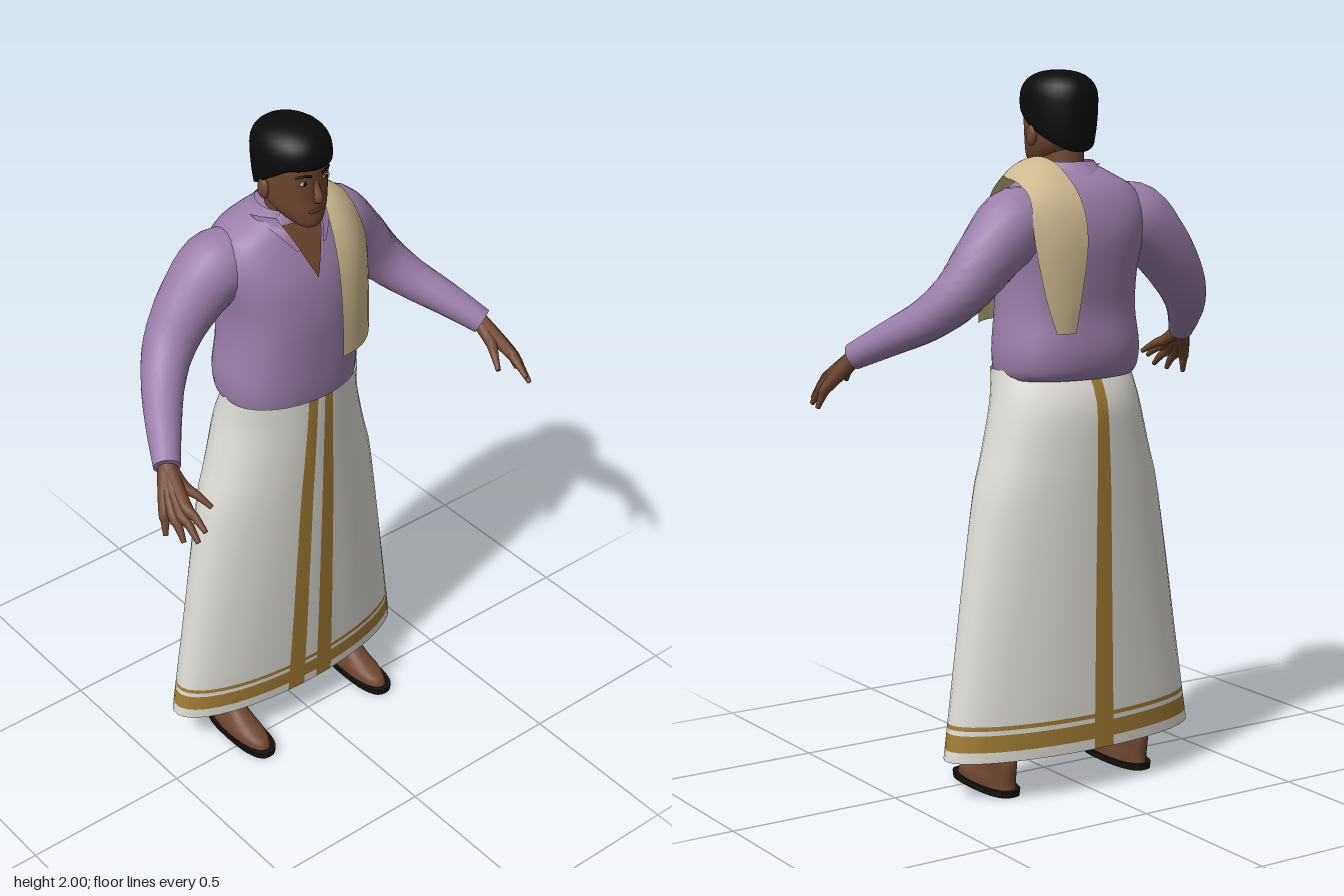
import * as THREE from 'three';

const mat = (name, color, side = THREE.FrontSide) => {
  const m = new THREE.MeshStandardMaterial({ color, side });
  m.name = name;
  return m;
};
const V = (x, y, z) => new THREE.Vector3(x, y, z);

// Catmull-Rom interpolation of number tuples
function smooth(keys, steps = 4) {
  const out = [];
  const last = keys.length - 1;
  for (let i = 0; i < last; i++) {
    const p = [keys[Math.max(i - 1, 0)], keys[i], keys[i + 1], keys[Math.min(i + 2, last)]];
    for (let s = 0; s < steps; s++) {
      const t = s / steps;
      out.push(p[1].map((b, k) => {
        const a = p[0][k], c = p[2][k], d = p[3][k];
        return 0.5 * (2 * b + (c - a) * t + (2 * a - 5 * b + 4 * c - d) * t * t + (3 * b - a - 3 * c + d) * t * t * t);
      }));
    }
  }
  out.push(keys[last]);
  return out;
}

// Surface through rows of points; pick() gives each cell a material index
function grid(rows, closed = true, pick = () => 0) {
  const n = rows[0].length, cols = closed ? n : n - 1;
  const pos = [], lists = [[], []];
  rows.forEach(r => r.forEach(p => pos.push(p.x, p.y, p.z)));
  for (let i = 0; i < rows.length - 1; i++) {
    for (let j = 0; j < cols; j++) {
      const k = (j + 1) % n;
      const a = i * n + j, b = i * n + k, c = b + n, d = a + n;
      lists[pick(i, j)].push(a, b, c, a, c, d);
    }
  }
  const g = new THREE.BufferGeometry();
  g.setAttribute('position', new THREE.Float32BufferAttribute(pos, 3));
  g.setIndex([...lists[0], ...lists[1]]);
  if (lists[1].length) {
    g.addGroup(0, lists[0].length, 0);
    g.addGroup(lists[0].length, lists[1].length, 1);
  }
  g.computeVertexNormals();
  return g;
}

// Close both ends of a stack of rings with crisp rims
function capped(rings) {
  const dot = ring => {
    const c = ring.reduce((s, p) => s.add(p), V(0, 0, 0)).divideScalar(ring.length);
    return ring.map(() => c);
  };
  const a = rings[0], b = rings[rings.length - 1];
  return grid([dot(a), a, ...rings, b, dot(b)]);
}

const circle = n => Array.from({ length: n }, (_, i) => (i / n) * Math.PI * 2);
const pow = (v, e) => Math.sign(v) * Math.abs(v) ** (2 / e);

// Horizontal cross-section [y, half width, front z, back z, centre x]
function ring([y, hw, zf, zb, cx = 0], e, angles) {
  return angles.map(a => V(cx + hw * pow(Math.sin(a), e), y, (zf + zb) / 2 + (zf - zb) / 2 * pow(Math.cos(a), e)));
}
const loft = (rows, e = 2, n = 32) => capped(rows.map(r => ring(r, e, circle(n))));

function sectionAt(rows, y) {
  let i = 0;
  while (i < rows.length - 2 && rows[i + 1][0] < y) i++;
  const t = (y - rows[i][0]) / (rows[i + 1][0] - rows[i][0]);
  return rows[i].map((v, k) => v + (rows[i + 1][k] - v) * t);
}
function frontZ(rows, x, y, e) {
  const [, hw, zf, zb] = sectionAt(rows, y);
  const u = Math.min(1, Math.abs(x) / hw);
  return (zf + zb) / 2 + (zf - zb) / 2 * (1 - u ** e) ** (1 / e);
}

// Round limb through [x, y, z, radius]
function limb(keys, n = 14, steps = 4) {
  const rows = smooth(keys, steps), up = V(0, 1, 0);
  const at = i => V(...rows[Math.min(Math.max(i, 0), rows.length - 1)].slice(0, 3));
  return capped(rows.map((r, i) => {
    const q = new THREE.Quaternion().setFromUnitVectors(up, at(i + 1).sub(at(i - 1)).normalize());
    return circle(n).map(a => V(Math.sin(a) * r[3], 0, Math.cos(a) * r[3]).applyQuaternion(q).add(at(i)));
  }));
}

export function createModel() {
  const D = THREE.DoubleSide;
  const skin = mat('skin', 0x6f4630), hairM = mat('hair', 0x0b0b0c, D), shirt = mat('shirt', 0x9a7ea8, D);
  const cloth = mat('white cloth', 0xdddbd4, D), gold = mat('gold border', 0xa27c35, D);
  const shawlM = mat('shawl', 0xcbb88d, D), sole = mat('sole', 0x141112);
  const white = mat('eye white', 0xc9c5bf), lip = mat('lips', 0x57321f);
  const model = new THREE.Group();
  const add = (name, geo, m) => {
    const mesh = new THREE.Mesh(geo, m);
    mesh.name = name;
    model.add(mesh);
    return mesh;
  };
  const blob = (name, m, p, s) => {
    const mesh = add(name, new THREE.SphereGeometry(1, 16, 12), m);
    mesh.position.set(...p);
    mesh.scale.set(...s);
  };

  // Shirt body
  const torso = smooth([
    [1.165, .195, .045, -.24], [1.19, .207, .05, -.258], [1.25, .21, .055, -.268], [1.35, .198, .058, -.262],
    [1.45, .195, .058, -.275], [1.55, .21, .045, -.285], [1.62, .215, .02, -.275], [1.68, .185, -.008, -.25],
    [1.72, .12, -.028, -.215], [1.745, .075, -.035, -.18]]);
  add('shirtBody', loft(torso, 2.4, 40), shirt);

  // Open neckline and collar
  const vHalf = y => .066 * (y - 1.57) / .15;
  const vRows = [];
  for (let i = 0; i <= 8; i++) {
    const y = 1.572 + i * .0185;
    vRows.push([-1, -.5, 0, .5, 1].map(u => V(u * vHalf(y), y, frontZ(torso, u * vHalf(y), y, 2.4) + .005)));
  }
  add('neckline', grid(vRows, false), skin);
  for (const s of [-1, 1]) {
    const rows = [];
    for (let i = 0; i <= 6; i++) {
      const y = 1.655 + i * .0145, a = vHalf(y), w = .012 + .03 * i / 6;
      rows.push([0, .5, 1].map(u => V(s * (a + u * w), y, frontZ(torso, a + u * w, Math.min(y, 1.73), 2.4) + .012)));
    }
    add('collarFlap', grid(rows, false), shirt);
  }
  const arc = Array.from({ length: 25 }, (_, i) => .8 + i / 24 * (Math.PI * 2 - 1.6));
  add('collarBand', grid([[1.69, .125, -.015, -.24], [1.72, .1, -.02, -.215], [1.755, .078, -.02, -.185]]
    .map(r => ring(r, 2, arc)), false), shirt);

  // Wrapped skirt with woven gold borders
  const skirt = smooth([
    [.12, .408, .01, -.255], [.4, .365, .025, -.258], [.6, .335, .034, -.26], [.85, .293, .045, -.264],
    [.95, .264, .05, -.265], [1.1, .226, .057, -.26], [1.19, .212, .06, -.215]]);
  const half = [.058, .2025];
  for (let i = 1; i <= 17; i++) half.push(.2025 + i * (Math.PI - .2025) / 18);
  const angles = [...half.map(a => -a).reverse(), ...half, Math.PI];
  const ys = [.12, .15, .197, .21, .222];
  for (let i = 1; i <= 22; i++) ys.push(.222 + i * .044);
  add('skirt', grid(ys.map(y => ring(sectionAt(skirt, y), 2, angles)), true, (i, j) => {
    const a = angles[j], b = angles[(j + 1) % angles.length], m = Math.abs((a + b) / 2);
    return i === 1 || i === 3 || (m > .058 && m < .2025) ? 1 : 0;
  }), [cloth, gold]);

  // Shawl over the left shoulder: [y, z, inner x, outer x, outer z shift, outer y shift]
  const shawl = smooth([
    [1.31, .08, .06, .217, -.08, 0], [1.45, .08, .055, .222, -.09, 0], [1.58, .064, .055, .22, -.085, 0],
    [1.68, .02, .065, .2, -.06, -.01], [1.75, -.05, .085, .19, -.03, -.035], [1.768, -.11, .085, .195, 0, -.055],
    [1.742, -.19, .075, .2, .015, -.04], [1.66, -.268, .06, .2, .035, 0], [1.55, -.295, .055, .2, .04, 0],
    [1.4, -.288, .07, .17, .025, 0], [1.3, -.275, .08, .135, .01, 0]], 5);
  add('shawl', grid(shawl.map(([y, z, a, b, dz, dy]) => Array.from({ length: 9 }, (_, i) => {
    const u = i / 8;
    return V(a + (b - a) * u, y + dy * u * u, z + dz * u ** 2.5);
  })), false), shawlM);

  // Neck and head
  add('neck', loft([[1.6, .06, -.045, -.16], [1.7, .06, -.025, -.155], [1.8, .06, -.015, -.15]]), skin);
  const head = smooth([
    [1.722, .025, .028, -.02], [1.735, .045, .035, -.07], [1.77, .071, .035, -.13], [1.81, .083, .033, -.165],
    [1.86, .088, .034, -.18], [1.91, .09, .035, -.185], [1.96, .07, .01, -.15]]);
  add('head', loft(head, 2.2), skin);
  add('nose', limb([[0, 1.862, .028, .007], [0, 1.835, .037, .01], [0, 1.814, .044, .013], [0, 1.803, .034, .009]]), skin);
  blob('mouth', lip, [0, 1.773, .033], [.025, .006, .006]);

  // Hair cap, low at the nape and high over the forehead
  const hairRows = [];
  for (let i = -1; i <= 12; i++) {
    const f = Math.sin(Math.max(i, 0) / 12 * Math.PI / 2);
    hairRows.push(circle(40).map(a => {
      const c = Math.cos(a), yb = c > 0 ? 1.85 + .055 * Math.min(1, c * 1.5) : 1.85 + .07 * c;
      const y = yb + (2 - yb) * f;
      let r = y < 1.92 ? 1 - .14 * ((1.92 - y) / .14) ** 2 : Math.max(0, 1 - ((y - 1.92) / .08) ** 2.4) ** (1 / 2.4);
      if (i < 0) r *= .84;
      return V(.1 * r * Math.sin(a), y, -.073 + .123 * r * c);
    }));
  }
  add('hair', grid(hairRows), hairM);

  for (const s of [-1, 1]) {
    // Face details
    const ez = frontZ(head, .036, 1.863, 2.2);
    blob('eye', white, [s * .036, 1.863, ez], [.015, .006, .004]);
    blob('iris', hairM, [s * .036, 1.863, ez + .003], [.006, .006, .003]);
    add('eyebrow', limb([.017, .036, .056].map((x, i) =>
      [s * x, 1.881 + (i === 1 ? .004 : 0), frontZ(head, x, 1.881, 2.2), .0035]), 8), hairM);
    blob('ear', skin, [s * .092, 1.825, -.075], [.012, .03, .02]);

    // Sleeve
    add('sleeve', limb([
      [s * .13, 1.61, -.14, .08], [s * .2, 1.59, -.15, .1], [s * .29, 1.505, -.155, .087], [s * .365, 1.415, -.14, .073],
      [s * .43, 1.345, -.085, .06], [s * .5, 1.285, .01, .048], [s * .557, 1.232, .1, .037]], 20), shirt);

    // Hand: each finger runs from the wrist through its knuckle to the tip
    const wrist = [s * .552, 1.237, .088];
    const fingers = [
      [.545, 1.195, .15, .508, 1.15, .228], [.574, 1.172, .2, .568, 1.128, .28], [.588, 1.158, .195, .588, 1.1, .275],
      [.6, 1.15, .18, .61, 1.09, .24], [.609, 1.147, .155, .626, 1.086, .18]];
    for (const [kx, ky, kz, tx, ty, tz] of fingers) {
      add('finger', limb([
        [...wrist, .024], [s * kx, ky, kz, .017], [s * (kx + tx) / 2, (ky + ty) / 2 + .004, (kz + tz) / 2, .012],
        [s * tx, ty, tz, .007]], 10), skin);
    }

    // Leg, foot and sandal
    const x = s * .226;
    add('leg', loft(smooth([
      [.018, .046, .085, -.175, x], [.04, .045, .07, -.175, x], [.06, .04, .02, -.178, x], [.09, .037, -.04, -.18, x],
      [.14, .038, -.06, -.175, x], [.4, .055, -.055, -.185, s * .205], [.7, .065, -.05, -.19, s * .16],
      [1.1, .085, -.03, -.21, s * .1]]), 2.2, 24), skin);
    add('sandalSole', loft([[0, .051, .1, -.184, x], [.018, .053, .102, -.186, x]], 2.6), sole);
  }
  return model;
}
